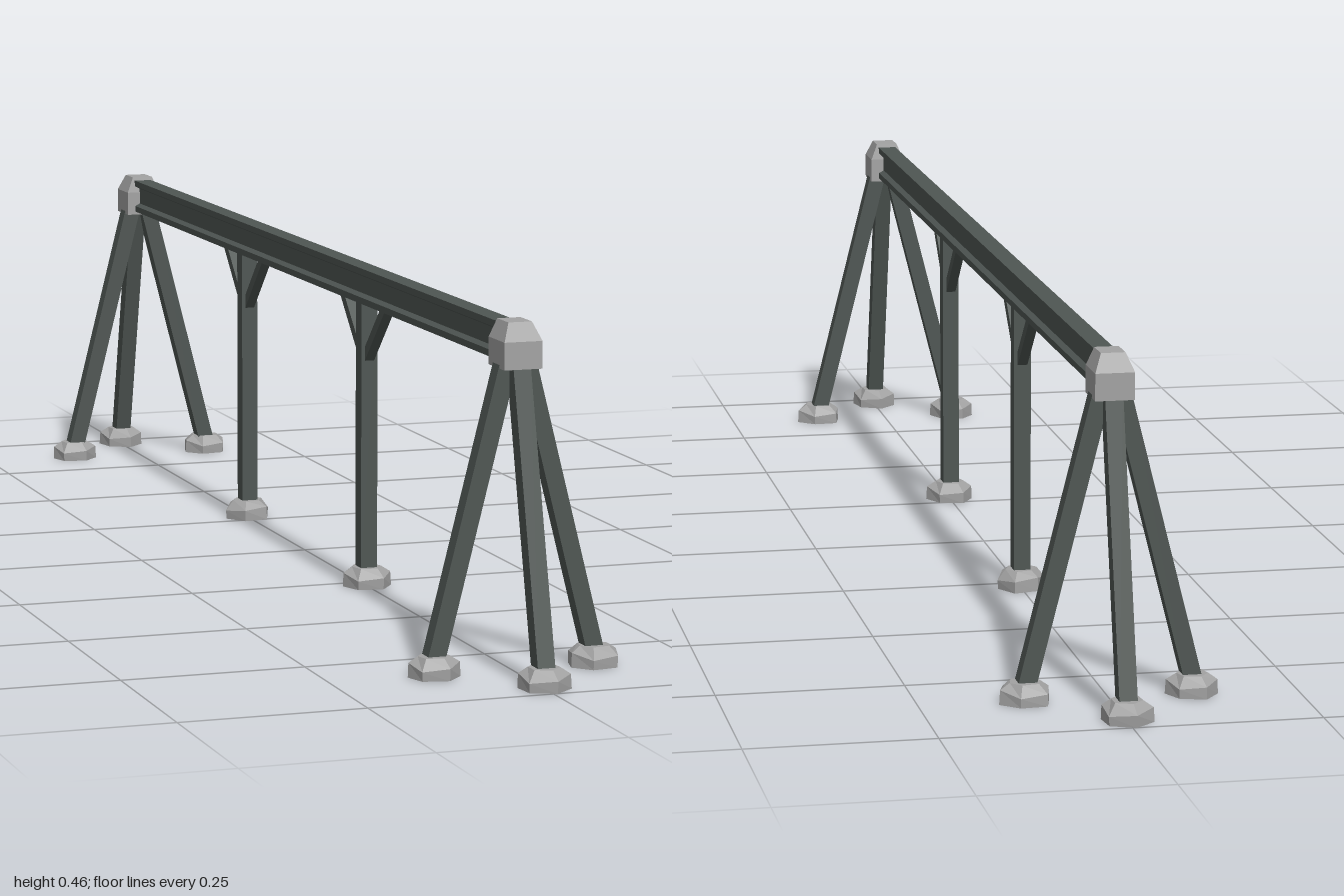
import * as THREE from 'three';

export function createModel() {
  const model = new THREE.Group();
  const steel = new THREE.MeshStandardMaterial({ color: 0x4f5653, flatShading: true });
  steel.name = 'darkSteel';
  const stone = new THREE.MeshStandardMaterial({ color: 0xa3a3a3, flatShading: true });
  stone.name = 'paleStone';

  const add = (parent, name, geometry, material) => {
    const mesh = new THREE.Mesh(geometry, material);
    mesh.name = name;
    parent.add(mesh);
    return mesh;
  };

  // Square bar between two points
  const bar = (parent, name, from, to, width, depth = width) => {
    const a = new THREE.Vector3(...from), b = new THREE.Vector3(...to);
    const dir = b.clone().sub(a);
    const mesh = add(parent, name, new THREE.BoxGeometry(width, dir.length(), depth), steel);
    mesh.position.copy(a).add(b).multiplyScalar(0.5);
    mesh.quaternion.setFromUnitVectors(new THREE.Vector3(0, 1, 0), dir.normalize());
  };

  // Rough six-sided foot block with a bevelled top
  const foot = (parent, x, z, turn, depth = 1) => {
    const profile = [[0, 0], [0.038, 0], [0.038, 0.016], [0.024, 0.028], [0, 0.028]]
      .map(([r, y]) => new THREE.Vector2(r, y));
    const geometry = new THREE.LatheGeometry(profile, 6);
    const pos = geometry.attributes.position;
    for (let i = 0; i < pos.count; i++) {
      const side = Math.floor(i / profile.length) % 6;
      const level = i % profile.length;
      const k = 0.93 + 0.07 * Math.sin(side * 2.4 + level * 0.5);
      const rise = level === 2 ? 0.004 * Math.sin(side * 2.1) : 0;
      pos.setXYZ(i, pos.getX(i) * k, pos.getY(i) + rise, pos.getZ(i) * k);
    }
    geometry.rotateY(turn);
    geometry.scale(1, 1, depth);
    const flat = geometry.toNonIndexed();
    flat.computeVertexNormals();
    add(parent, 'foot', flat, stone).position.set(x, 0, z);
  };

  // Long I-section rail
  const section = new THREE.Shape();
  const half = [[0.0135, 0.405], [0.0135, 0.414], [0.006, 0.418],
    [0.006, 0.442], [0.0135, 0.446], [0.0135, 0.455]];
  const outline = [...half, ...half.slice().reverse().map(([x, y]) => [-x, y])];
  section.setFromPoints(outline.map(([x, y]) => new THREE.Vector2(x, y)));
  const railGeometry = new THREE.ExtrudeGeometry(section, { depth: 1.7, bevelEnabled: false });
  add(model, 'rail', railGeometry.translate(0, 0, -0.85), steel);

  // Tripods at both ends, each under a tapered cap
  for (const s of [1, -1]) {
    const tripod = new THREE.Group();
    tripod.name = s > 0 ? 'frontTripod' : 'backTripod';
    model.add(tripod);

    const capGeometry = new THREE.BoxGeometry(0.052, 0.06, 0.058, 1, 2, 1);
    const pos = capGeometry.attributes.position;
    for (let i = 0; i < pos.count; i++) {
      const y = pos.getY(i);
      if (Math.abs(y) < 0.01) pos.setY(i, 0.006);
      if (y > 0.01) {
        pos.setX(i, pos.getX(i) * 0.62);
        pos.setZ(i, pos.getZ(i) * 0.7 - s * 0.004);
      }
    }
    add(tripod, 'cap', capGeometry, stone).position.set(0, 0.43, s * 0.856);

    for (const side of [1, -1]) {
      bar(tripod, 'sideLeg', [side * 0.112, 0.015, s * 0.855], [side * 0.011, 0.415, s * 0.855], 0.024);
      foot(tripod, side * 0.111, s * 0.858, Math.PI / 6 + side * 0.2, 0.9);
    }
    bar(tripod, 'outerLeg', [0, 0.015, s * 0.966], [0, 0.415, s * 0.865], 0.024);
    foot(tripod, 0, s * 0.965, s > 0 ? 0.15 : Math.PI + 0.15);
  }

  // Middle posts with a pair of diagonal braces
  for (const s of [1, -1]) {
    const post = new THREE.Group();
    post.name = s > 0 ? 'frontPost' : 'backPost';
    model.add(post);
    const z = s * 0.275;
    bar(post, 'upright', [0, 0.015, z], [0, 0.41, z], 0.024);
    for (const d of [1, -1]) {
      bar(post, 'brace', [0, 0.322, z], [0, 0.411, z + d * 0.092], 0.014);
    }
    foot(post, 0, z, 0.4 * s);
  }
  return model;
}
